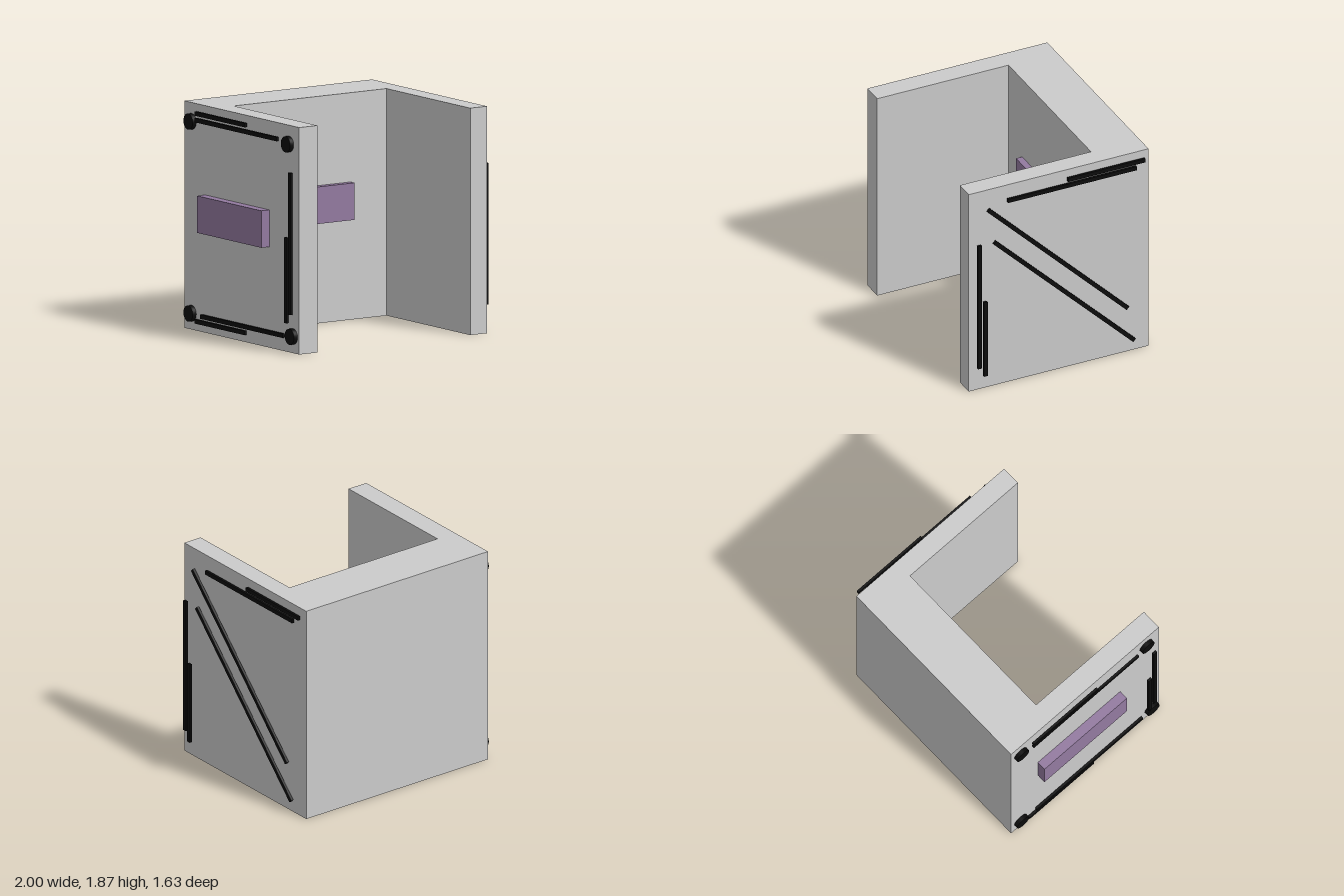
import * as THREE from 'three';

export function createModel() {
  const model = new THREE.Group();
  model.name = 'cubicle';
  const grey = new THREE.MeshStandardMaterial({ color: 0xcccccc });
  const purple = new THREE.MeshStandardMaterial({ color: 0x937aa0 });
  const black = new THREE.MeshStandardMaterial({ color: 0x0c0c0c });

  const add = (name, geometry, material) => {
    const mesh = new THREE.Mesh(geometry, material);
    mesh.name = name;
    model.add(mesh);
    return mesh;
  };

  // U-shaped wall, open to the front
  const outline = [
    [-0.92, 0.82], [0.94, 0.82], [0.94, -0.81], [0.775, -0.81],
    [0.775, 0.38], [-0.74, 0.38], [-0.74, -0.81], [-0.92, -0.81],
  ].map(([x, y]) => new THREE.Vector2(x, y));
  const walls = new THREE.ExtrudeGeometry(new THREE.Shape(outline), { depth: 1.87, bevelEnabled: false });
  walls.rotateX(-Math.PI / 2);
  add('walls', walls, grey);

  // Purple panels: one on the inner back wall, one on the outer right wall
  add('innerPanel', new THREE.BoxGeometry(0.91, 0.305, 0.055), purple).position.set(-0.035, 0.982, -0.3525);
  add('outerPanel', new THREE.BoxGeometry(0.08, 0.305, 0.91), purple).position.set(-0.96, 0.982, -0.07);

  // Thin strip running between two (z, y) points on a side
  const strip = (name, x, [z0, y0], [z1, y1]) => {
    const length = Math.hypot(z1 - z0, y1 - y0);
    const mesh = add(name, new THREE.BoxGeometry(0.021, 0.035, length), black);
    mesh.position.set(x, (y0 + y1) / 2, (z0 + z1) / 2);
    mesh.rotation.x = -Math.atan2(y1 - y0, z1 - z0);
  };

  // Left side strips
  strip('leftTopShortStrip', 0.976, [-0.77, 1.797], [-0.07, 1.797]);
  strip('leftTopLongStrip', 0.976, [-0.69, 1.743], [0.475, 1.743]);
  strip('leftUpperDiagonal', 0.977, [-0.61, 0.435], [0.65, 1.7]);
  strip('leftLowerDiagonal', 0.977, [-0.67, 0.115], [0.595, 1.38]);
  strip('leftLongUpright', 0.986, [0.735, 0.225], [0.735, 1.39]);
  strip('leftShortUpright', 0.986, [0.682, 0.14], [0.682, 0.843]);

  // Right side strips
  strip('rightTopShortStrip', -0.955, [-0.61, 1.797], [0.1, 1.797]);
  strip('rightTopLongStrip', -0.955, [-0.61, 1.743], [0.55, 1.743]);
  strip('rightBottomLongStrip', -0.938, [-0.56, 0.13], [0.61, 0.13]);
  strip('rightBottomShortStrip', -0.938, [-0.64, 0.08], [0.07, 0.08]);
  strip('rightLongUpright', -0.955, [0.73, 0.32], [0.73, 1.49]);
  strip('rightShortUpright', -0.955, [0.676, 0.245], [0.676, 0.95]);

  // Corner discs on the right side
  const disc = new THREE.CylinderGeometry(0.066, 0.066, 0.037, 32);
  disc.rotateZ(Math.PI / 2);
  [[-0.718, 1.715], [0.665, 1.715], [0.72, 0.137], [-0.718, 0.134]].forEach(([z, y], i) => {
    add('cornerDisc' + (i + 1), disc, black).position.set(-0.937, y, z);
  });

  return model;
}
